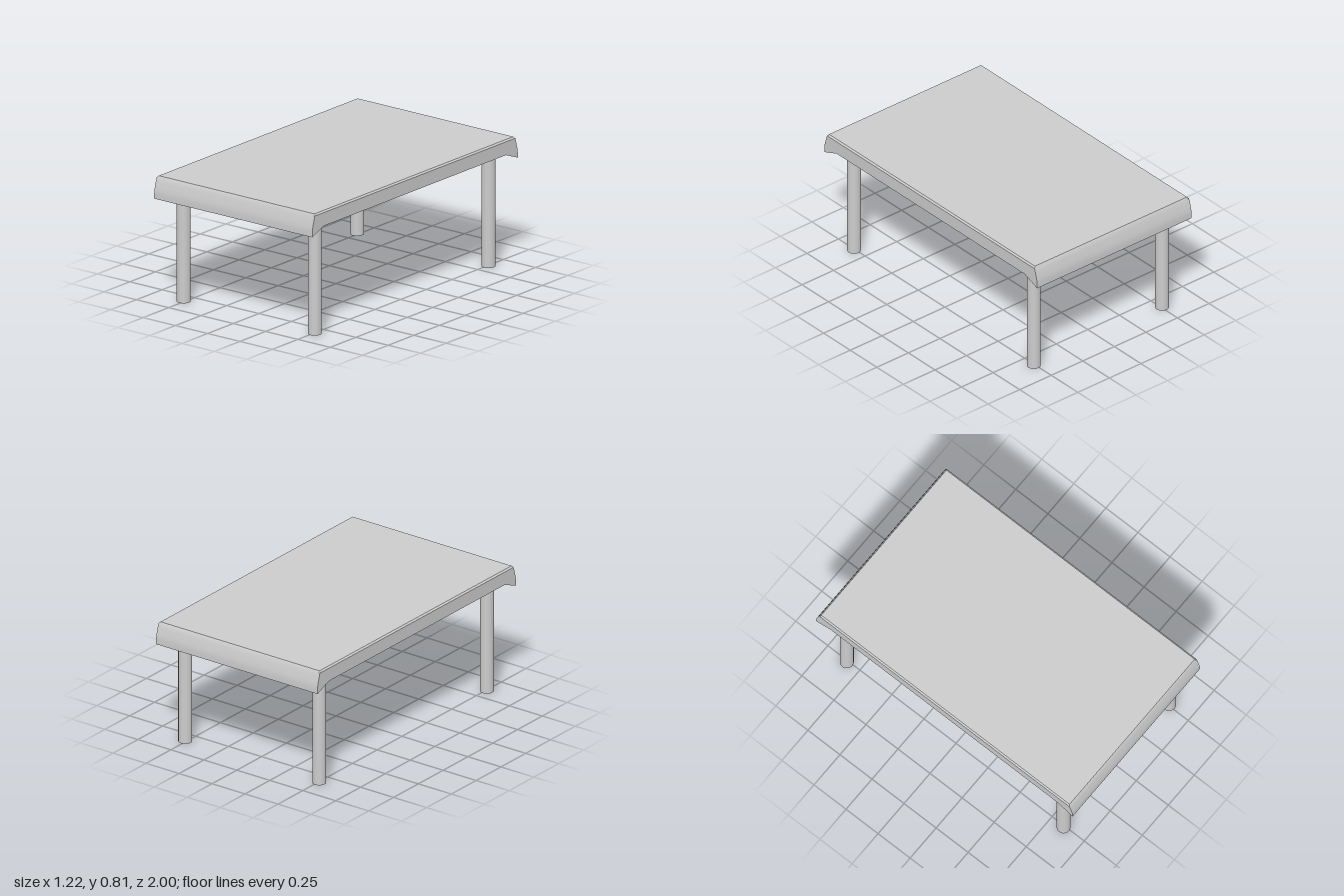
import * as THREE from 'three';
import { toCreasedNormals } from 'three/addons/utils/BufferGeometryUtils.js';

const material = new THREE.MeshStandardMaterial({ color: 0xcccccc });

// Half of the side profile as [z, y], from the top edge round the drooping lip to the underside
const PROFILE = [
  [0.968, 0.812], [0.976, 0.802], [0.984, 0.777], [0.992, 0.749],
  [0.998, 0.725], [1, 0.705], [1, 0.672], [0.885, 0.717],
];

function tabletopGeometry() {
  const halfWidth = 0.612, bevel = 0.01, top = 0.812;
  const mirrored = PROFILE.map(([z, y]) => [-z, y]).reverse();
  const shape = new THREE.Shape([...PROFILE, ...mirrored].map(([z, y]) => new THREE.Vector2(z, y)));
  const geometry = new THREE.ExtrudeGeometry(shape, { depth: 3, steps: 3, bevelEnabled: false });
  geometry.rotateY(Math.PI / 2);

  // Spread the four sections across the width; the outer two are lowered to chamfer the top edge
  const sections = [-halfWidth, -halfWidth + bevel, halfWidth - bevel, halfWidth];
  const position = geometry.attributes.position;
  for (let i = 0; i < position.count; i++) {
    const step = Math.round(position.getX(i));
    position.setX(i, sections[step]);
    if (step === 0 || step === 3) position.setY(i, Math.min(position.getY(i), top - bevel));
  }
  return toCreasedNormals(geometry, 0.5);
}

export function createModel() {
  const model = new THREE.Group();
  model.name = 'table';

  const tabletop = new THREE.Mesh(tabletopGeometry(), material);
  tabletop.name = 'tabletop';
  model.add(tabletop);

  // Four round legs
  const legHeight = 0.717;
  const legGeometry = new THREE.CylinderGeometry(0.042, 0.042, legHeight, 32);
  for (const [zName, z] of [['front', 0.845], ['back', -0.845]]) {
    for (const [xName, x] of [['Left', 0.508], ['Right', -0.508]]) {
      const leg = new THREE.Mesh(legGeometry, material);
      leg.name = `${zName}${xName}Leg`;
      leg.position.set(x, legHeight / 2, z);
      model.add(leg);
    }
  }
  return model;
}
